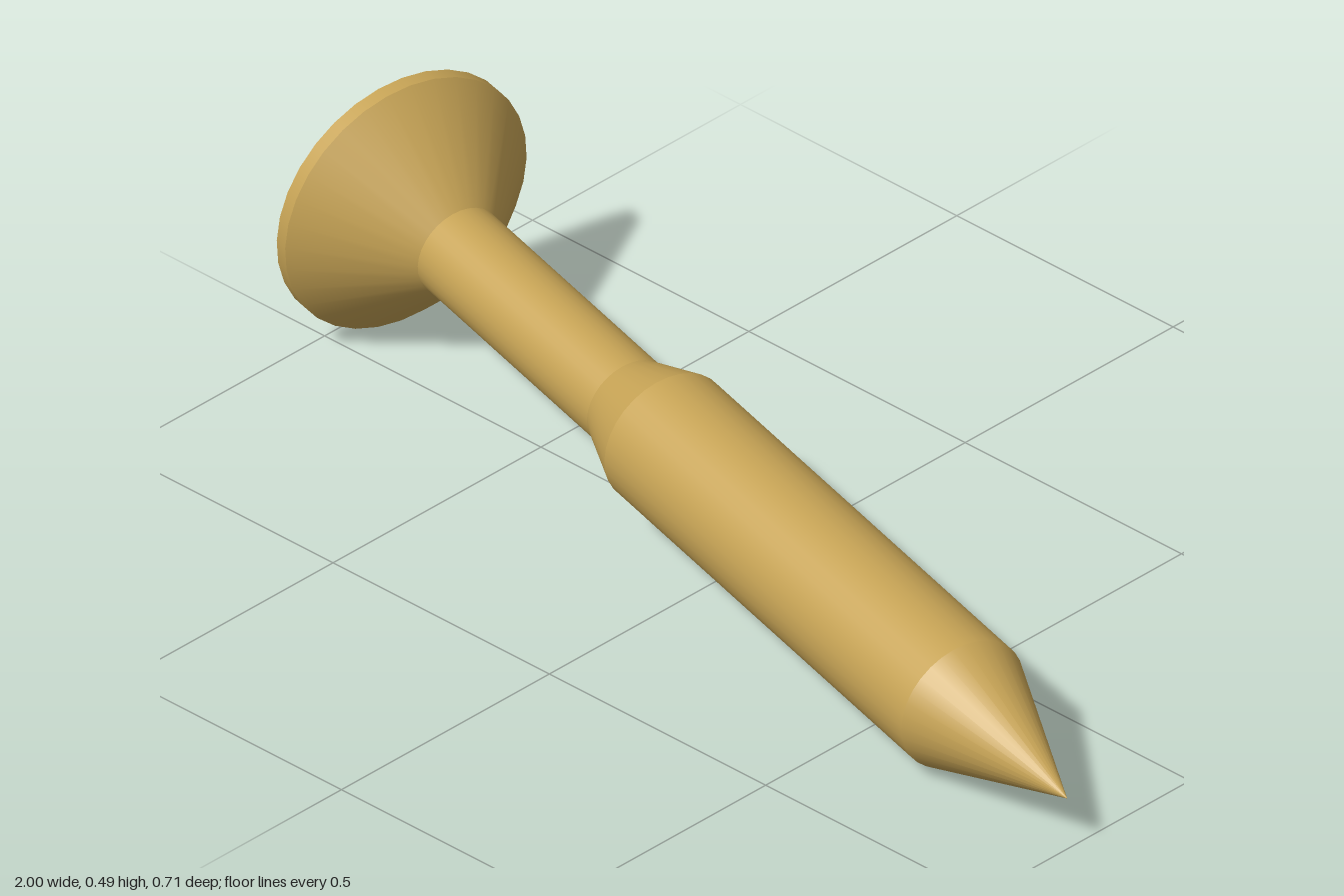
import * as THREE from 'three';

const SIDES = 32;
const HEAD_R = 0.243;

// Outline of the cross recess: four arms with a thin diagonal tick between each pair
function recessOutline(scale) {
  const arm = 0.135, half = 0.04, tick = 0.092, w = 0.004;
  const quarter = [
    [arm, -half], [arm, half], [half + w, half],
    [tick + w, tick - w], [tick - w, tick + w], [half, half + w],
  ];
  const pts = [];
  for (let k = 0; k < 4; k++) {
    const a = k * Math.PI / 2;
    for (const [x, y] of quarter) {
      pts.push(new THREE.Vector2(x, y).rotateAround(new THREE.Vector2(), a).multiplyScalar(scale));
    }
  }
  return pts;
}

// Sloping walls between two matching outlines, facing inward
function recessWalls(top, bottom, depth) {
  const pos = [];
  top.forEach((a, i) => {
    const j = (i + 1) % top.length;
    const b = top[j], c = bottom[j], d = bottom[i];
    pos.push(a.x, a.y, 0, b.x, b.y, 0, c.x, c.y, -depth);
    pos.push(a.x, a.y, 0, c.x, c.y, -depth, d.x, d.y, -depth);
  });
  const geo = new THREE.BufferGeometry();
  geo.setAttribute('position', new THREE.Float32BufferAttribute(pos, 3));
  geo.computeVertexNormals();
  return geo;
}

export function createModel() {
  const brass = new THREE.MeshStandardMaterial({ color: 0xc6a355 });
  brass.name = 'brass';

  const model = new THREE.Group();
  model.name = 'screw';
  const add = (name, geo) => {
    const mesh = new THREE.Mesh(geo, brass);
    mesh.name = name;
    model.add(mesh);
  };

  // Sections along the axis: name, start, end, start radius, end radius
  const sections = [
    ['headRim', 0, 0.025, HEAD_R, HEAD_R],
    ['headCone', 0.025, 0.183, HEAD_R, 0.083],
    ['neck', 0.183, 0.687, 0.083, 0.083],
    ['shoulder', 0.687, 0.798, 0.083, 0.123],
    ['shank', 0.798, 1.682, 0.123, 0.123],
    ['point', 1.682, 1.994, 0.123, 0],
  ];
  for (const [name, y0, y1, r0, r1] of sections) {
    const geo = new THREE.CylinderGeometry(r1, r0, y1 - y0, SIDES, 1, true);
    geo.translate(0, (y0 + y1) / 2, 0);
    add(name, geo);
  }

  // Flat head face with the recess cut out of it
  const rim = [];
  for (let i = 0; i < SIDES; i++) {
    const a = i / SIDES * Math.PI * 2;
    rim.push(new THREE.Vector2(Math.cos(a), Math.sin(a)).multiplyScalar(HEAD_R));
  }
  const top = recessOutline(1);
  const bottom = recessOutline(0.6);
  const depth = 0.11;
  const face = new THREE.Shape(rim);
  face.holes.push(new THREE.Path(top));
  add('headFace', new THREE.ShapeGeometry(face).rotateX(Math.PI / 2));
  add('recessWalls', recessWalls(top, bottom, depth).rotateX(Math.PI / 2));
  const floor = new THREE.ShapeGeometry(new THREE.Shape(bottom)).translate(0, 0, -depth);
  add('recessFloor', floor.rotateX(Math.PI / 2));

  // Lay the screw down, resting on its head and shank
  const start = new THREE.Vector3(-0.945, 0.25, -0.118);
  const tip = new THREE.Vector3(1, 0.102, 0.295);
  const axis = tip.sub(start).normalize();
  model.quaternion.setFromUnitVectors(new THREE.Vector3(0, 1, 0), axis);
  model.position.copy(start);

  const root = new THREE.Group();
  root.add(model);
  return root;
}
